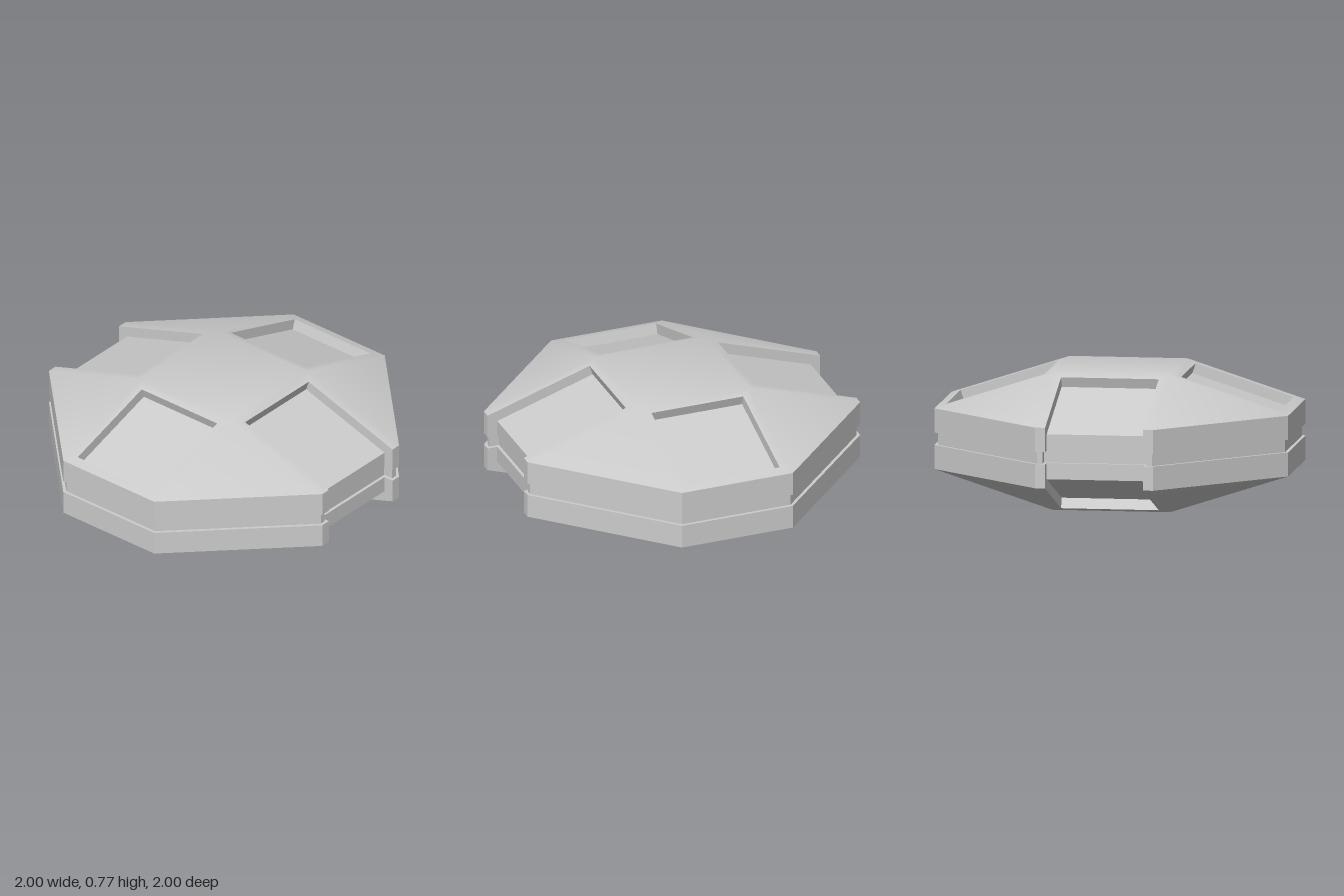
import * as THREE from 'three';
import { mergeGeometries, toCreasedNormals } from 'three/addons/utils/BufferGeometryUtils.js';

const A = 0.333;              // half-width of the flat octagon sides
const MID = 0.3875;           // height of the symmetry plane
const TOP = 0.3875, EDGE = 0.1715, GROOVE = 0.035; // heights above that plane
const SLOPE = (TOP - EDGE) / (1 - A);
const PX = 0.276, P0 = 0.387, P1 = 0.942, DEPTH = 0.06; // pocket half-width, ends, depth
const INSET = 0.018;

const roofY = (x, z) =>
  TOP - SLOPE * (Math.max(Math.abs(x) - A, 0) + Math.max(Math.abs(z) - A, 0));

const toShape = (pts) => new THREE.Shape(pts.map(([x, y]) => new THREE.Vector2(x, y)));

function bare(geo) {
  const g = geo.index ? geo.toNonIndexed() : geo;
  g.deleteAttribute('uv');
  g.deleteAttribute('normal');
  return g;
}

// Flat plan outline draped over the sloping roof (plan y runs towards -z)
function drape(pts, hole) {
  const shape = toShape(pts);
  if (hole) shape.holes.push(toShape(hole));
  const g = bare(new THREE.ShapeGeometry(shape)).rotateX(-Math.PI / 2);
  const p = g.attributes.position;
  for (let i = 0; i < p.count; i++) p.setY(i, roofY(p.getX(i), p.getZ(i)));
  return g;
}

// Convex polygon of [x, y, v] corners (v = -z), turned to face along dir
function face(pts, dir) {
  const v = pts.map(([x, y, d]) => new THREE.Vector3(x, y, -d));
  const n = v[1].clone().sub(v[0]).cross(v[2].clone().sub(v[0]));
  if (n.dot(new THREE.Vector3(dir[0], dir[1], -dir[2])) < 0) v.reverse();
  const tris = [];
  for (let i = 1; i < v.length - 1; i++) tris.push(v[0], v[i], v[i + 1]);
  return new THREE.BufferGeometry().setFromPoints(tris);
}

// Octagon with a notch in each x side, shrunk by d
function outline(d) {
  const e = 1 - d, b = A - d * 0.414, n = P1 - d, p = PX + d;
  const q = [[n, p], [e, p], [e, b], [b, e]];
  const half = [...q, ...q.map(([x, y]) => [-x, y]).reverse()];
  return [...half, ...half.map(([x, y]) => [-x, -y])];
}

// One quarter of a shell: slope, pocket, corner facet and rim
function sector(open) {
  const len = Math.hypot(1, SLOPE);
  const dv = DEPTH * SLOPE / len, dy = DEPTH / len;
  const y0 = roofY(0, P0), y1 = roofY(0, P1);
  const inV = P0 - dv, inY = y0 - dy;
  const outV = open ? P1 : P1 - dv;
  const outY = inY - SLOPE * (outV - inV);
  const parts = [];

  // sloping face around the pocket
  if (open) {
    parts.push(drape([[-A, A], [A, A], [A, 1], [PX, 1], [PX, P1], [PX, P0],
      [-PX, P0], [-PX, P1], [-PX, 1], [-A, 1]]));
  } else {
    parts.push(drape([[-A, A], [A, A], [A, 1], [-A, 1]],
      [[-PX, P0], [PX, P0], [PX, P1], [-PX, P1]]));
  }
  // corner facet and the rim below it
  parts.push(drape([[A, A], [1, A], [A, 1]]));
  parts.push(face([[A, GROOVE, 1], [1, GROOVE, A], [1, EDGE, A], [A, EDGE, 1]], [1, 0, 1]));

  // pocket floor and inner wall
  parts.push(face([[-PX, inY, inV], [PX, inY, inV], [PX, outY, outV], [-PX, outY, outV]], [0, 1, 0]));
  parts.push(face([[-PX, y0, P0], [PX, y0, P0], [PX, inY, inV], [-PX, inY, inV]], [0, 0, 1]));
  for (const s of [-1, 1]) {
    const x = s * PX;
    parts.push(face([[x, y0, P0], [x, inY, inV], [x, outY, outV], [x, y1, P1]], [-s, 0, 0]));
    if (open) {
      // notch cheek and the short rim beside it
      parts.push(face([[x, GROOVE, P1], [x, GROOVE, 1], [x, EDGE, 1], [x, y1, P1]], [-s, 0, 0]));
      parts.push(face([[x, GROOVE, 1], [s * A, GROOVE, 1], [s * A, EDGE, 1], [x, EDGE, 1]], [0, 0, 1]));
    }
  }
  if (open) {
    // back wall of the notch
    parts.push(face([[-PX, GROOVE, P1], [PX, GROOVE, P1], [PX, outY, P1], [-PX, outY, P1]], [0, 0, 1]));
  } else {
    // outer pocket wall and straight rim
    parts.push(face([[-PX, y1, P1], [PX, y1, P1], [PX, outY, outV], [-PX, outY, outV]], [0, 0, -1]));
    parts.push(face([[-A, GROOVE, 1], [A, GROOVE, 1], [A, EDGE, 1], [-A, EDGE, 1]], [0, 0, 1]));
  }
  return parts;
}

function shellGeometry() {
  const parts = [drape([[-A, -A], [A, -A], [A, A], [-A, A]])];
  for (let i = 0; i < 4; i++) {
    for (const g of sector(i % 2 === 1)) parts.push(g.rotateY(i * Math.PI / 2));
  }
  // lip overhanging the groove
  const lip = toShape(outline(0));
  lip.holes.push(toShape(outline(INSET)));
  parts.push(bare(new THREE.ShapeGeometry(lip)).rotateX(Math.PI / 2).translate(0, GROOVE, 0));
  return toCreasedNormals(mergeGeometries(parts), 0.5);
}

export function createModel() {
  const group = new THREE.Group();
  const material = new THREE.MeshStandardMaterial({ color: 0xcccccc });
  const add = (geo, name) => {
    const mesh = new THREE.Mesh(geo, material);
    mesh.name = name;
    mesh.position.y = MID;
    group.add(mesh);
    return mesh;
  };

  // two identical shells, one turned over
  const shell = shellGeometry();
  add(shell, 'upperShell');
  add(shell, 'lowerShell').rotation.x = Math.PI;

  // recessed band between the shells
  const band = new THREE.ExtrudeGeometry(toShape(outline(INSET)), { depth: 2 * GROOVE, bevelEnabled: false });
  add(band.rotateX(-Math.PI / 2).translate(0, -GROOVE, 0), 'grooveBand');
  return group;
}
